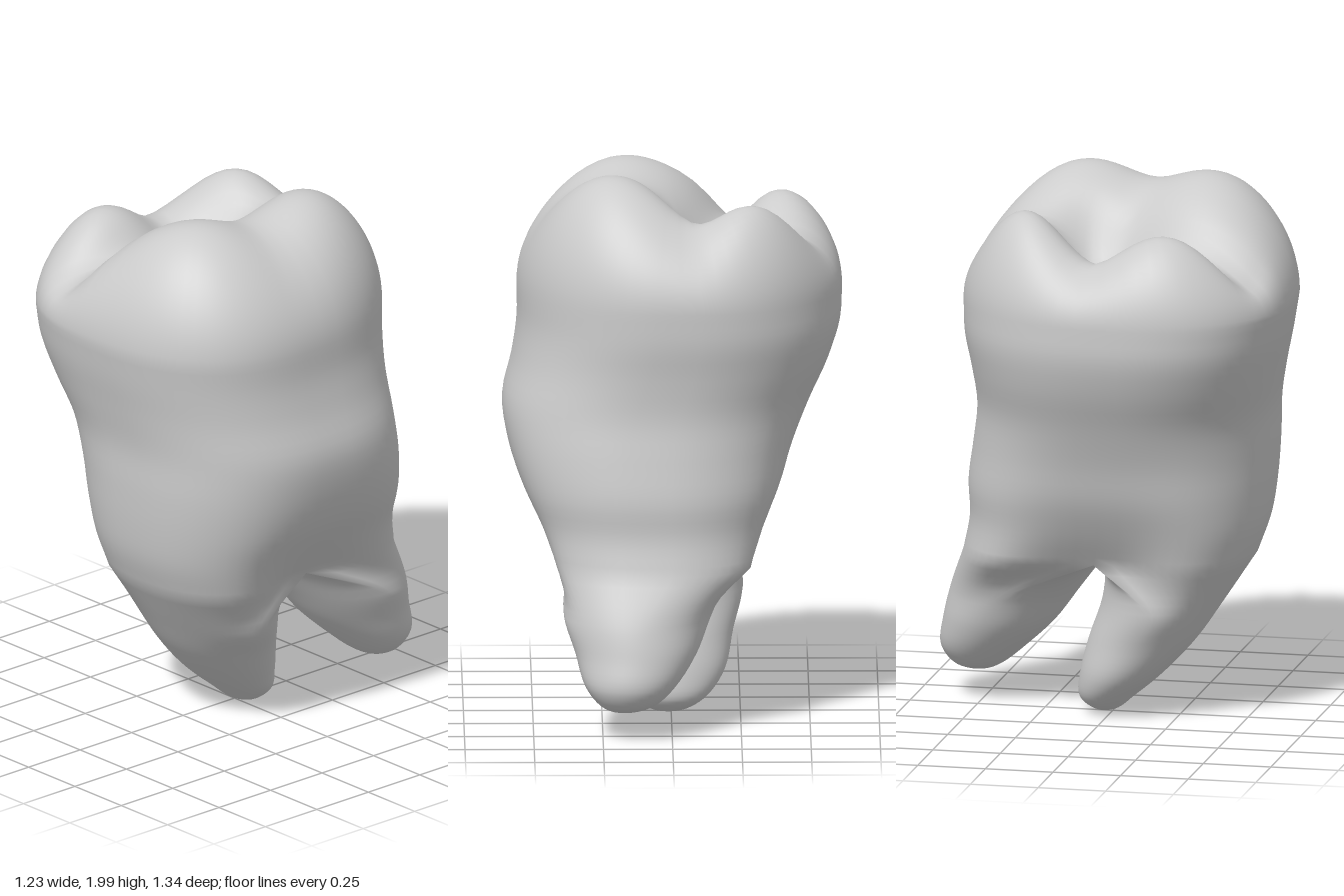
import * as THREE from 'three';
import { mergeGeometries, mergeVertices } from 'three/addons/utils/BufferGeometryUtils.js';

const N = 64; // points per ring
const spow = (v, e) => Math.sign(v) * Math.abs(v) ** e;
const bump = (d, r) => Math.exp(-(d * d) / (r * r));

// Horizontal section of crown or trunk; pinch draws in the two sides above the fork
function trunkRing([y, xl, xr, zb, zf, pinch, skew]) {
  const cx = (xl + xr) / 2, cz = (zb + zf) / 2;
  return Array.from({ length: N }, (_, j) => {
    const a = (j / N) * Math.PI * 2, c = Math.cos(a), s = Math.sin(a);
    const x = spow(c, 0.84) * (xr - xl) / 2 * (1 - pinch * c ** 8) * (1 + skew * s);
    return new THREE.Vector3(cx + x, y, cz + spow(s, 0.84) * (zf - zb) / 2);
  });
}

// Elliptical section of a root
function rootRing([y, cx, rx, cz, rz], start) {
  return Array.from({ length: N }, (_, j) => {
    const a = start + (j / N) * Math.PI * 2;
    return new THREE.Vector3(cx + rx * Math.cos(a), y, cz + rz * Math.sin(a));
  });
}

// Smooth extra rings between the given ones
function refine(rings, steps) {
  const curves = rings[0].map((_, j) => new THREE.CatmullRomCurve3(rings.map((r) => r[j])));
  const count = (rings.length - 1) * steps;
  return Array.from({ length: count + 1 }, (_, i) => curves.map((c) => c.getPoint(i / count)));
}

// Skin over rings running from top to bottom
function loft(rings) {
  const pos = rings.flatMap((r) => r.flatMap((p) => [p.x, p.y, p.z]));
  const index = [];
  for (let i = 0; i < rings.length - 1; i++) {
    for (let j = 0; j < N; j++) {
      const k = (j + 1) % N;
      const a = i * N + j, b = i * N + k, c = a + N, d = b + N;
      index.push(a, b, c, b, d, c);
    }
  }
  const g = new THREE.BufferGeometry();
  g.setAttribute('position', new THREE.Float32BufferAttribute(pos, 3));
  g.setIndex(index);
  return g;
}

// Height of the chewing surface: four blended cusps, a central pit and a groove
const cusps = [ // x, z, height, radius
  [0.17, 0.33, 0.27, 0.4], [0.22, -0.15, 0.285, 0.38],
  [-0.43, 0.28, 0.17, 0.25], [-0.29, -0.26, 0.23, 0.25],
];
function chewingHeight(x, z) {
  const sum = cusps.reduce((t, [cx, cz, h, r]) => t + (h * bump(Math.hypot(x - cx, z - cz), r)) ** 4, 0);
  const t = THREE.MathUtils.clamp((0.55 - z) / 0.6, 0, 1);
  const groove = 0.08 * bump(Math.hypot(x + 0.27 - 0.17 * t, z - 0.55 + 0.6 * t), 0.1);
  const pit = 0.11 * bump(Math.hypot(x + 0.17, z + 0.03), 0.19);
  return 1.71 + sum ** 0.25 - groove - pit;
}

export function createModel() {
  // Walls: y, x left, x right, z back, z front, pinch, skew
  const BROW = 1.55;
  const walls = [
    [BROW, -0.615, 0.555, -0.525, 0.67, 0, 0.09],
    [1.43, -0.61, 0.555, -0.52, 0.65, 0, 0.08],
    [1.3, -0.57, 0.575, -0.5, 0.62, 0, 0.05],
    [1.15, -0.5, 0.61, -0.49, 0.59, 0, 0.02],
    [1.0, -0.455, 0.605, -0.51, 0.585, 0.03, 0],
    [0.85, -0.43, 0.575, -0.53, 0.575, 0.08, 0],
    [0.72, -0.4, 0.535, -0.525, 0.555, 0.17, 0],
    [0.59, -0.375, 0.505, -0.55, 0.51, 0.32, 0],
  ].map(trunkRing);

  // Chewing surface: the top wall ring shrinks to its middle and follows the cusps
  const rim = walls[0], mx = -0.03, mz = 0.07, STEPS = 28;
  const top = Array.from({ length: STEPS }, (_, i) => {
    const s = Math.sin((i / STEPS) * Math.PI / 2);
    return rim.map((p) => {
      const x = mx + (p.x - mx) * s, z = mz + (p.z - mz) * s;
      return new THREE.Vector3(x, BROW + (chewingHeight(x, z) - BROW) * Math.sqrt(1 - s ** 6), z);
    });
  });
  const crown = loft([...top, ...refine(walls, 4)]);

  // Roots: each takes half of the lowest wall ring, closed by a line across the fork
  const base = walls[walls.length - 1], H = N / 2;
  const root = (rows, start) => {
    const first = Array.from({ length: N }, (_, j) => j <= H
      ? base[(start + j) % N].clone()
      : base[(start + H) % N].clone().lerp(base[start], (j - H) / H));
    return loft(refine([first, ...rows.map((r) => rootRing(r, (start / N) * Math.PI * 2))], 5));
  };
  // y, centre x, radius x, centre z, radius z
  const frontRoot = root([
    [0.42, 0.045, 0.305, 0.18, 0.22], [0.28, 0.02, 0.245, 0.11, 0.195],
    [0.15, 0.0, 0.195, 0.035, 0.15], [0.06, 0.005, 0.135, -0.02, 0.1],
    [0.015, 0.01, 0.07, -0.025, 0.05], [0, 0.01, 0, -0.025, 0],
  ], 0);
  const backRoot = root([
    [0.42, 0.125, 0.265, -0.385, 0.235], [0.3, 0.13, 0.22, -0.445, 0.205],
    [0.19, 0.15, 0.165, -0.51, 0.155], [0.125, 0.16, 0.105, -0.53, 0.095],
    [0.1, 0.17, 0.05, -0.53, 0.045], [0.095, 0.17, 0, -0.53, 0],
  ], H);

  // One continuous smooth skin
  const skin = mergeVertices(mergeGeometries([crown, frontRoot, backRoot]), 1e-4);
  skin.computeVertexNormals();
  const tooth = new THREE.Mesh(skin, new THREE.MeshStandardMaterial({ color: 0xcccccc, roughness: 0.8 }));
  tooth.name = 'molarTooth';

  const group = new THREE.Group();
  group.name = 'molar';
  group.add(tooth);
  return group;
}
